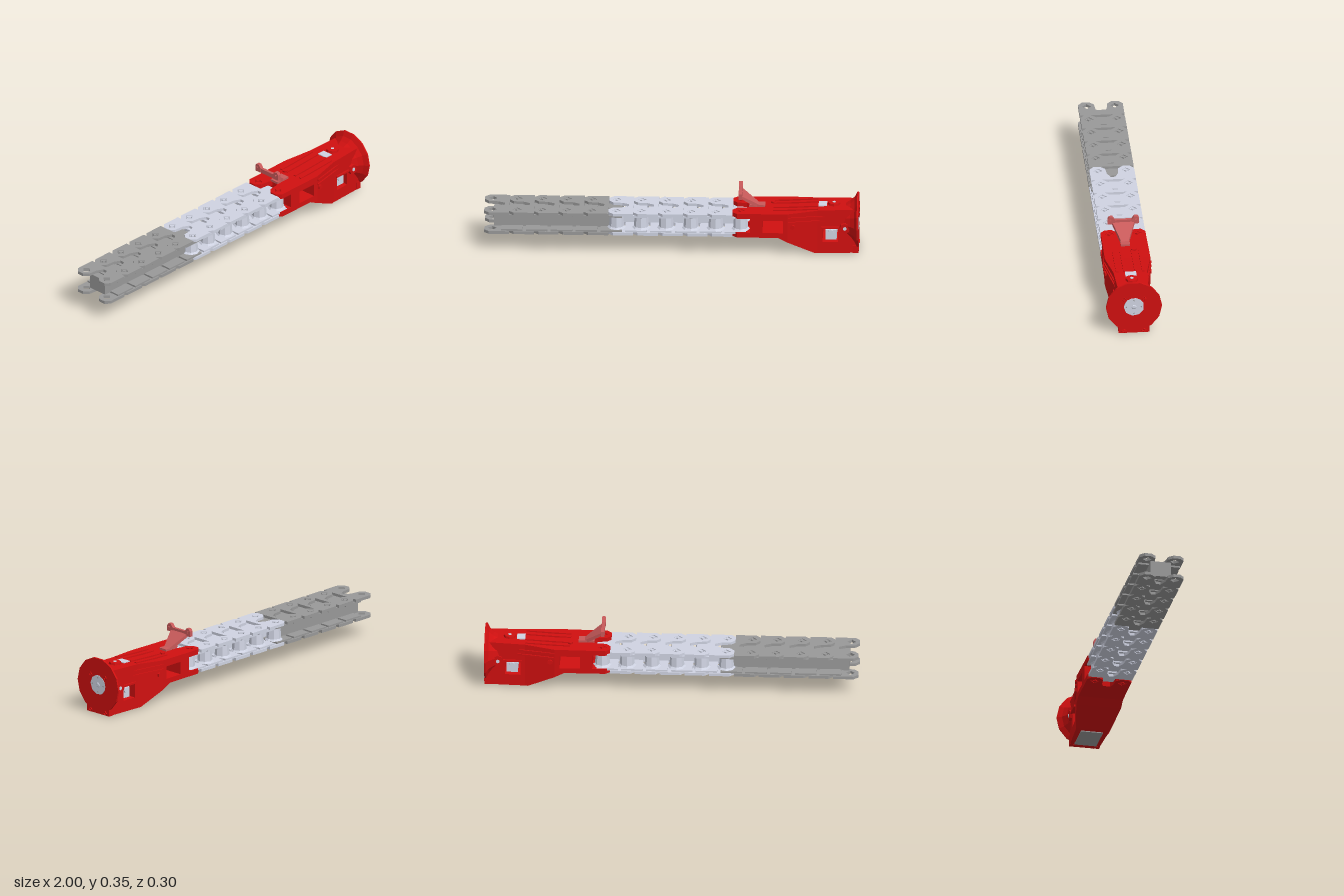
import * as THREE from 'three';

const mat = (color) => new THREE.MeshStandardMaterial({ color, flatShading: true, side: THREE.DoubleSide });
const RED = mat(0xd01010), PINK = mat(0xc85a5a), LIGHT = mat(0xcfd3e2), DARK = mat(0x999999);

function add(parent, name, geometry, material, x = 0, y = 0, z = 0) {
  const mesh = new THREE.Mesh(geometry, material);
  mesh.name = name;
  mesh.position.set(x, y, z);
  parent.add(mesh);
  return mesh;
}
const box = (w, h, d) => new THREE.BoxGeometry(w, h, d);
const path = (pts, Kind = THREE.Shape) => new Kind(pts.map(([x, y]) => new THREE.Vector2(x, y)));
const rect = (x0, y0, x1, y1) => [[x0, y0], [x1, y0], [x1, y1], [x0, y1]];
const ring = (cx, cy, r, n) => Array.from({ length: n }, (_, i) => {
  const a = i / n * Math.PI * 2;
  return [cx + r * Math.cos(a), cy + r * Math.sin(a)];
});
function extrude(points, holes, depth) {
  const shape = path(points);
  shape.holes = holes.map((h) => path(h, THREE.Path));
  return new THREE.ExtrudeGeometry(shape, { depth, bevelEnabled: false });
}

// Link outline seen from above: two faceted lobes round the pins, straight far edge
function linkPlate(thickness, end) {
  const half = [[end, 0.12], [-0.018, 0.12], [-0.043, 0.097], [-0.043, 0.06], [-0.02, 0.035], [0.03, 0.03], [0.065, 0.012]];
  const outline = [...half, ...half.map(([x, z]) => [x, -z]).reverse()];
  const holes = [-0.075, 0.075].map((z) => ring(0, z, 0.024, 4));
  return extrude(outline, holes, thickness).rotateX(-Math.PI / 2);
}

// Diamond socket with a small head inside, facing up at the given height
function pin(parent, x, y, z, material) {
  add(parent, 'pinRing', new THREE.TorusGeometry(0.019, 0.004, 4, 4).rotateX(Math.PI / 2), material, x, y, z);
  add(parent, 'pinHead', new THREE.CylinderGeometry(0.01, 0.012, 0.012, 4), material, x, y, z);
}

function buildChain() {
  const chain = new THREE.Group();
  chain.name = 'chain';
  const pitch = 0.1325, first = -0.957;
  const plate = linkPlate(0.016, 0.09);
  for (let i = 0; i <= 10; i++) {
    const x = first + i * pitch, m = i < 5 ? DARK : LIGHT;
    if (i < 10) {
      add(chain, 'upperLink', plate, m, x, 0.214, 0);
      add(chain, 'lowerLink', plate, m, x, 0.105, 0);
      // thinner tongues that overlap the next link
      for (const y of [0.21, 0.125]) add(chain, 'linkTongue', box(0.115, 0.011, 0.226), m, x + 0.105, y, 0);
    }
    if (i > 0 && i < 10) for (const z of [-0.075, 0.075]) for (const y of [0.225, 0.11]) pin(chain, x, y, z, m);
    // waisted spacer blocks in the open half of the chain
    if (i >= 5) {
      const profile = [[0.05, -0.038], [0.04, -0.028], [0.036, 0.028], [0.042, 0.038]].map(([r, y]) => new THREE.Vector2(r, y));
      for (const z of [-0.06, 0.06]) add(chain, 'spacer', new THREE.LatheGeometry(profile, 8), LIGHT, x, 0.1675, z);
      if (i < 10) add(chain, 'spacerWeb', box(pitch, 0.055, 0.04), LIGHT, x + pitch / 2, 0.1675, 0);
    }
  }
  // solid core in the dark half
  add(chain, 'core', box(0.64, 0.085, 0.11), DARK, -0.63, 0.1675, 0);
  return chain;
}

// Side profile extruded across the width, with the width tapering linearly along x
function taperedBlock(points, holes, x0, w0, x1, w1) {
  const g = extrude(points, holes, 2).translate(0, 0, -1);
  const p = g.attributes.position;
  for (let i = 0; i < p.count; i++) {
    const t = (p.getX(i) - x0) / (x1 - x0);
    p.setZ(i, p.getZ(i) * (w0 + (w1 - w0) * t));
  }
  g.computeVertexNormals();
  return g;
}

function buildHousing() {
  const housing = new THREE.Group();
  housing.name = 'housing';

  // forked mount that grips the chain end
  const fork = linkPlate(0.028, 0.1);
  for (const y of [0.21, 0.102]) add(housing, 'fork', fork, RED, 0.368, y, 0);
  for (const z of [-0.075, 0.075]) for (const y of [0.235, 0.106]) pin(housing, 0.368, y, z, RED);

  // three body sections
  add(housing, 'frontSection', taperedBlock([[0.42, 0.102], [0.57, 0.102], [0.62, 0.076], [0.62, 0.24], [0.42, 0.238]],
    [rect(0.485, 0.13, 0.595, 0.2)], 0.42, 0.12, 0.62, 0.122), RED);
  add(housing, 'middleSection', taperedBlock([[0.62, 0.076], [0.765, 0.005], [0.78, 0.005], [0.78, 0.25], [0.62, 0.24]],
    [], 0.62, 0.122, 0.78, 0.09), RED);
  add(housing, 'rearSection', taperedBlock([[0.78, 0.005], [0.99, 0.005], [0.99, 0.255], [0.78, 0.25]],
    [rect(0.805, 0.068, 0.888, 0.148)], 0.78, 0.09, 0.99, 0.08), RED);

  // side details, mirrored
  for (const s of [-1, 1]) {
    for (const y of [0.19, 0.215]) {
      const rib = add(housing, 'sideRib', box(0.2, 0.009, 0.014), RED, 0.72, y, s * 0.102);
      rib.rotation.y = s * 0.19;
    }
    add(housing, 'sideBoss', new THREE.CylinderGeometry(0.028, 0.032, 0.02, 8).rotateX(Math.PI / 2), RED, 0.925, 0.15, s * 0.088);
    add(housing, 'sideBossScrew', new THREE.CylinderGeometry(0.011, 0.011, 0.024, 6).rotateX(Math.PI / 2), LIGHT, 0.925, 0.15, s * 0.088);
    add(housing, 'sideScrew', new THREE.CylinderGeometry(0.014, 0.014, 0.02, 6).rotateX(Math.PI / 2), RED, 0.645, 0.165, s * 0.115);
    add(housing, 'windowLip', box(0.1, 0.01, 0.02), RED, 0.847, 0.152, s * 0.086);
    // long ribs on the top
    for (const z of [0.03, 0.07]) {
      const rib = add(housing, 'topRib', box(0.24, 0.012, 0.014), RED, 0.66, 0.244, s * z);
      rib.rotation.z = 0.05;
    }
  }

  // gear block inside the window
  add(housing, 'gearBlock', box(0.06, 0.055, 0.13), LIGHT, 0.85, 0.1, 0);
  add(housing, 'gearAxle', new THREE.CylinderGeometry(0.016, 0.016, 0.145, 8).rotateX(Math.PI / 2), LIGHT, 0.85, 0.115, 0);

  // top fittings and underside cover
  add(housing, 'topInsert', box(0.045, 0.012, 0.06), LIGHT, 0.805, 0.249, 0);
  add(housing, 'topBoss', new THREE.CylinderGeometry(0.032, 0.036, 0.02, 8), RED, 0.865, 0.254, 0);
  add(housing, 'topBossScrew', new THREE.CylinderGeometry(0.011, 0.011, 0.024, 4), LIGHT, 0.865, 0.254, 0);
  add(housing, 'topScrew', new THREE.CylinderGeometry(0.014, 0.014, 0.012, 6), RED, 0.54, 0.242, -0.04);
  add(housing, 'baseCover', box(0.17, 0.005, 0.12), DARK, 0.875, 0.0025, 0);

  // flared flange with a central hub
  const flare = [[0.055, 0.03], [0.15, 0.03], [0.151, 0.022], [0.125, 0.008], [0.105, -0.015], [0.085, -0.05]];
  const flange = new THREE.LatheGeometry(flare.map(([r, y]) => new THREE.Vector2(r, y)), 14).rotateZ(-Math.PI / 2);
  add(housing, 'flange', flange, RED, 0.967, 0.164, 0);
  add(housing, 'hub', new THREE.CylinderGeometry(0.055, 0.055, 0.02, 9).rotateZ(-Math.PI / 2), LIGHT, 0.987, 0.164, 0);
  add(housing, 'hubCentre', new THREE.CylinderGeometry(0.01, 0.019, 0.006, 6).rotateZ(-Math.PI / 2), LIGHT, 0.997, 0.164, 0);
  for (let i = 0; i < 4; i++) {
    const a = i * Math.PI / 2;
    add(housing, 'hubScrew', new THREE.CylinderGeometry(0.006, 0.006, 0.004, 3).rotateZ(-Math.PI / 2), DARK,
      0.997, 0.164 + 0.04 * Math.cos(a), 0.04 * Math.sin(a));
  }
  for (const z of [-0.054, 0.054]) for (const y of [0.016, 0.214]) {
    add(housing, 'flangeScrew', new THREE.TorusGeometry(0.01, 0.004, 4, 4).rotateY(Math.PI / 2), RED, 0.996, y, z);
  }
  add(housing, 'flangeFoot', box(0.03, 0.045, 0.165), RED, 0.981, 0.026, 0);
  return housing;
}

function buildBracket() {
  const bracket = new THREE.Group();
  bracket.name = 'bracket';
  add(bracket, 'bracketFoot', box(0.085, 0.012, 0.05), PINK, 0.455, 0.244, 0);
  // leaning arm, wider towards the crossbar
  const arm = taperedBlock([[0.36, 0.308], [0.372, 0.298], [0.45, 0.24], [0.465, 0.25], [0.372, 0.316]], [], 0.36, 0.065, 0.465, 0.02);
  add(bracket, 'bracketArm', arm, PINK);
  add(bracket, 'crossbar', box(0.016, 0.024, 0.15), PINK, 0.366, 0.316, 0);
  // ears with pin holes
  for (const s of [-1, 1]) {
    const ear = extrude([[0.045, 0.304], [0.084, 0.304], [0.084, 0.335], [0.075, 0.347], [0.058, 0.347], [0.045, 0.328]],
      [ring(0.068, 0.329, 0.007, 4)], 0.02);
    ear.rotateY(-Math.PI / 2).scale(1, 1, s);
    add(bracket, 'ear', ear, PINK, 0.376, 0, 0);
  }
  return bracket;
}

export function createModel() {
  const model = new THREE.Group();
  model.name = 'chainArm';
  model.add(buildChain(), buildHousing(), buildBracket());
  return model;
}
